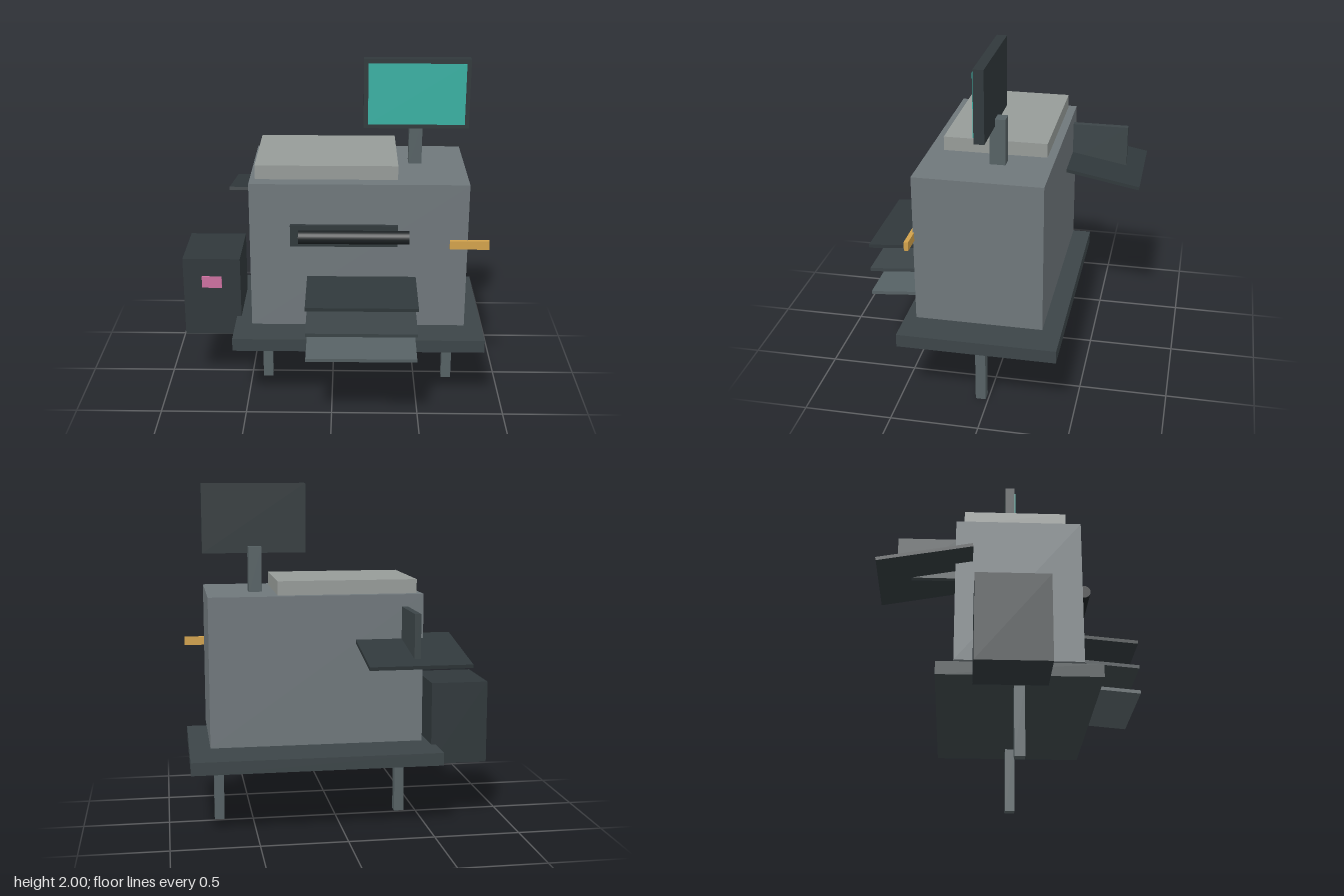
import * as THREE from 'three';

export function createModel() {
  const model = new THREE.Group();
  const mat = (color) => new THREE.MeshStandardMaterial({ color });
  const charcoal = mat(0x30383b), black = mat(0x1c2123), slate = mat(0x3c4548);
  const steel = mat(0x566164), shell = mat(0x6f777b), pale = mat(0x969b98);
  const teal = mat(0x38b0a2), amber = mat(0xd2a24c), pink = mat(0xcc70a0);

  // Box given by its extents on each axis
  function box(name, [x0, x1], [y0, y1], [z0, z1], material) {
    const mesh = new THREE.Mesh(new THREE.BoxGeometry(x1 - x0, y1 - y0, z1 - z0), material);
    mesh.name = name;
    mesh.position.set((x0 + x1) / 2, (y0 + y1) / 2, (z0 + z1) / 2);
    model.add(mesh);
    return mesh;
  }

  // Thin board tilted about the x axis
  function tray(name, [x0, x1], y, z, depth, tilt, material) {
    const mesh = box(name, [x0, x1], [y - 0.01, y + 0.01], [z - depth / 2, z + depth / 2], material);
    mesh.rotation.x = tilt;
  }

  // Table and its two legs
  box('tableTop', [-0.57, 0.875], [0.395, 0.47], [-0.41, 0.485], slate);
  for (const x of [-0.4, 0.7]) box('tableLeg', [x - 0.029, x + 0.029], [0, 0.4], [0.014, 0.072], steel);

  // Machine body with lid
  box('body', [-0.46, 0.76], [0.525, 1.38], [-0.315, 0.397], shell);
  box('lid', [-0.43, 0.367], [1.38, 1.46], [-0.268, 0.314], pale);

  // Paper slot and roller
  box('slot', [-0.233, 0.367], [1.02, 1.145], [0.38, 0.42], charcoal);
  const roller = new THREE.Mesh(new THREE.CylinderGeometry(0.038, 0.038, 0.617, 24), black);
  roller.name = 'roller';
  roller.rotation.z = Math.PI / 2;
  roller.position.set(0.122, 1.084, 0.438);
  model.add(roller);

  // Side lever
  box('lever', [0.66, 0.88], [1.005, 1.055], [0.39, 0.414], amber);

  // Front output trays
  [[0.806, charcoal], [0.652, slate], [0.498, steel]].forEach(([y, m]) =>
    tray('outputTray', [-0.14, 0.475], y, 0.547, 0.403, 0.087, m));

  // Rear feed tray with divider
  tray('feedTray', [-0.635, -0.07], 1.085, -0.483, 0.537, -0.185, charcoal);
  box('feedDivider', [-0.37, -0.335], [1.06, 1.31], [-0.645, -0.3], slate);

  // Side unit with label plate
  box('sideUnit', [-0.88, -0.543], [0.352, 0.84], [-0.212, 0.19], charcoal);
  box('sidePlate', [-0.77, -0.653], [0.66, 0.73], [0.18, 0.2], pink);

  // Monitor on a post
  box('monitorPost', [0.438, 0.513], [1.37, 1.64], [-0.063, 0.025], steel);
  box('monitorCase', [0.175, 0.775], [1.6, 2], [-0.006, 0.051], charcoal);
  box('monitorScreen', [0.2, 0.75], [1.625, 1.975], [0.045, 0.06], teal);

  return model;
}
